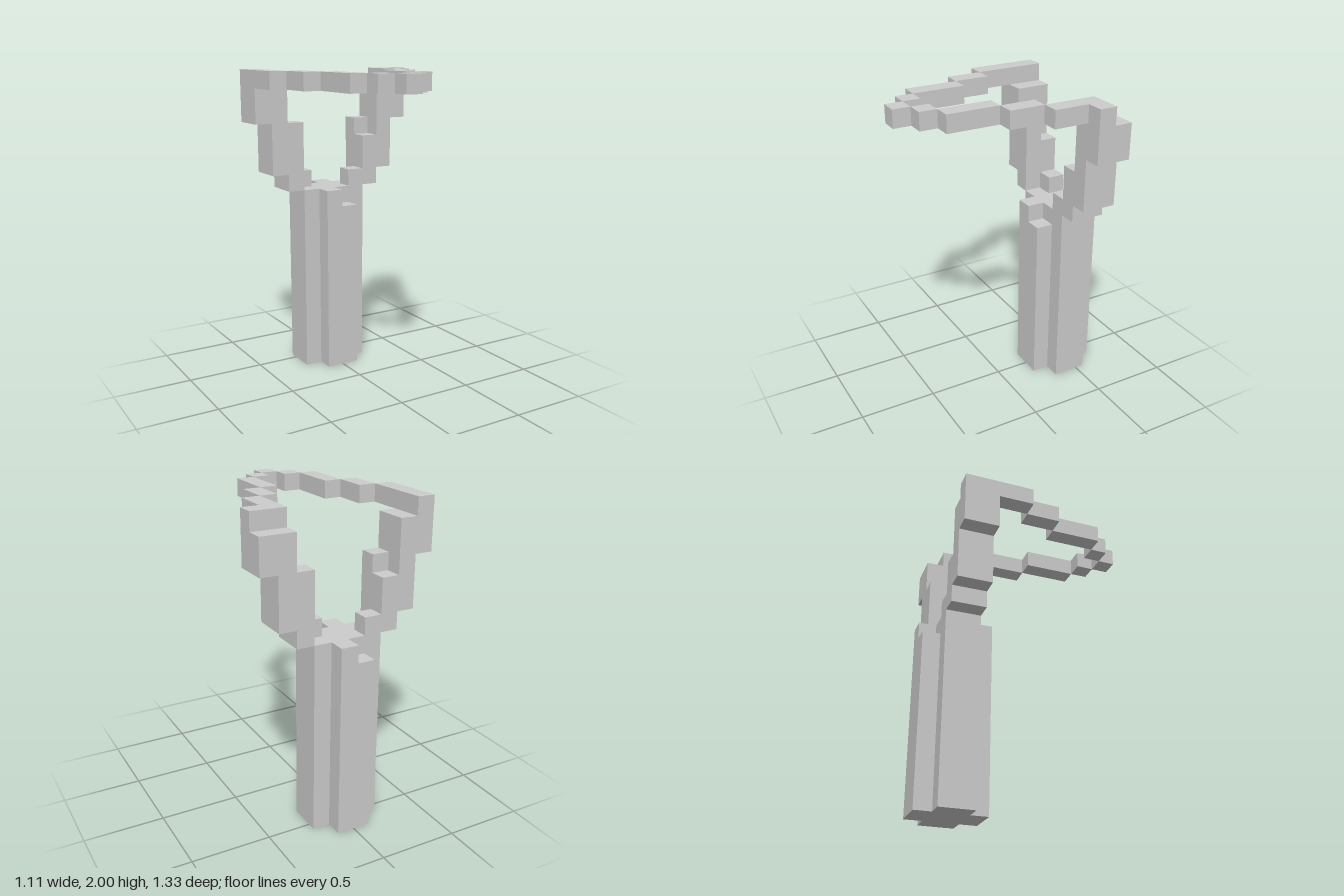
import * as THREE from 'three';

const U = 1 / 9; // edge of one block
const material = new THREE.MeshStandardMaterial({ color: 0xcccccc, flatShading: true });

// Box spanning block-grid ranges [from, to] on each axis
function block(parent, name, [x0, x1], [y0, y1], [z0, z1]) {
  const geometry = new THREE.BoxGeometry((x1 - x0) * U, (y1 - y0) * U, (z1 - z0) * U);
  const mesh = new THREE.Mesh(geometry, material);
  mesh.position.set((x0 + x1) * U / 2, (y0 + y1) * U / 2, (z0 + z1) * U / 2);
  mesh.name = name;
  parent.add(mesh);
}

function part(parent, name) {
  const group = new THREE.Group();
  group.name = name;
  parent.add(group);
  return group;
}

export function createModel() {
  const model = new THREE.Group();
  model.name = 'slingshot';

  // Handle: cross-shaped post, front and back ribs each with one short half
  const handle = part(model, 'handle');
  block(handle, 'handleCore', [-2, 2], [0, 11], [-5, -3]);
  block(handle, 'frontRibTall', [-1, 0], [0, 11], [-3, -2]);
  block(handle, 'frontRibShort', [0, 1], [0, 10], [-3, -2]);
  block(handle, 'backRibTall', [0, 1], [0, 11], [-6, -5]);
  block(handle, 'backRibShort', [-1, 0], [0, 10], [-6, -5]);

  // Fork arms: the lower steps are the same on both sides, turned half round
  for (const s of [1, -1]) {
    const arm = part(model, s > 0 ? 'leftForkArm' : 'rightForkArm');
    const step = (name, x, y, z) => block(arm, name,
      s > 0 ? x : [-x[1], -x[0]], y, s > 0 ? z : [-8 - z[1], -8 - z[0]]);
    step('crotchBlock', [1, 2], [11, 12], [-4, -3]);
    step('lowerStep', [2, 3], [11, 12], [-5, -3]);
    step('innerStepShort', [2, 3], [12, 14], [-4, -3]);
    step('innerStepTall', [2, 3], [12, 15], [-5, -4]);
    step('outerStep', [3, 4], [12, 15], [-5, -3]);
    step('forkTip', [3, 5], [15, 17], [-5, -3]);
    if (s > 0) block(arm, 'forkTipCap', [4, 5], [17, 18], [-4, -3]);
  }

  // Band: one-block-high stepped loop, [x, back z, front z] for each segment
  const band = part(model, 'band');
  const segments = [
    [-5, -5, -1], [-4, -1, 1], [-3, 1, 4], [-2, 4, 5], [-1, 5, 6],
    [0, 4, 5], [1, 1, 4], [2, -1, 1], [3, -4, -1],
  ];
  for (const [x, z0, z1] of segments) block(band, 'bandSegment', [x, x + 1], [17, 18], [z0, z1]);

  return model;
}
